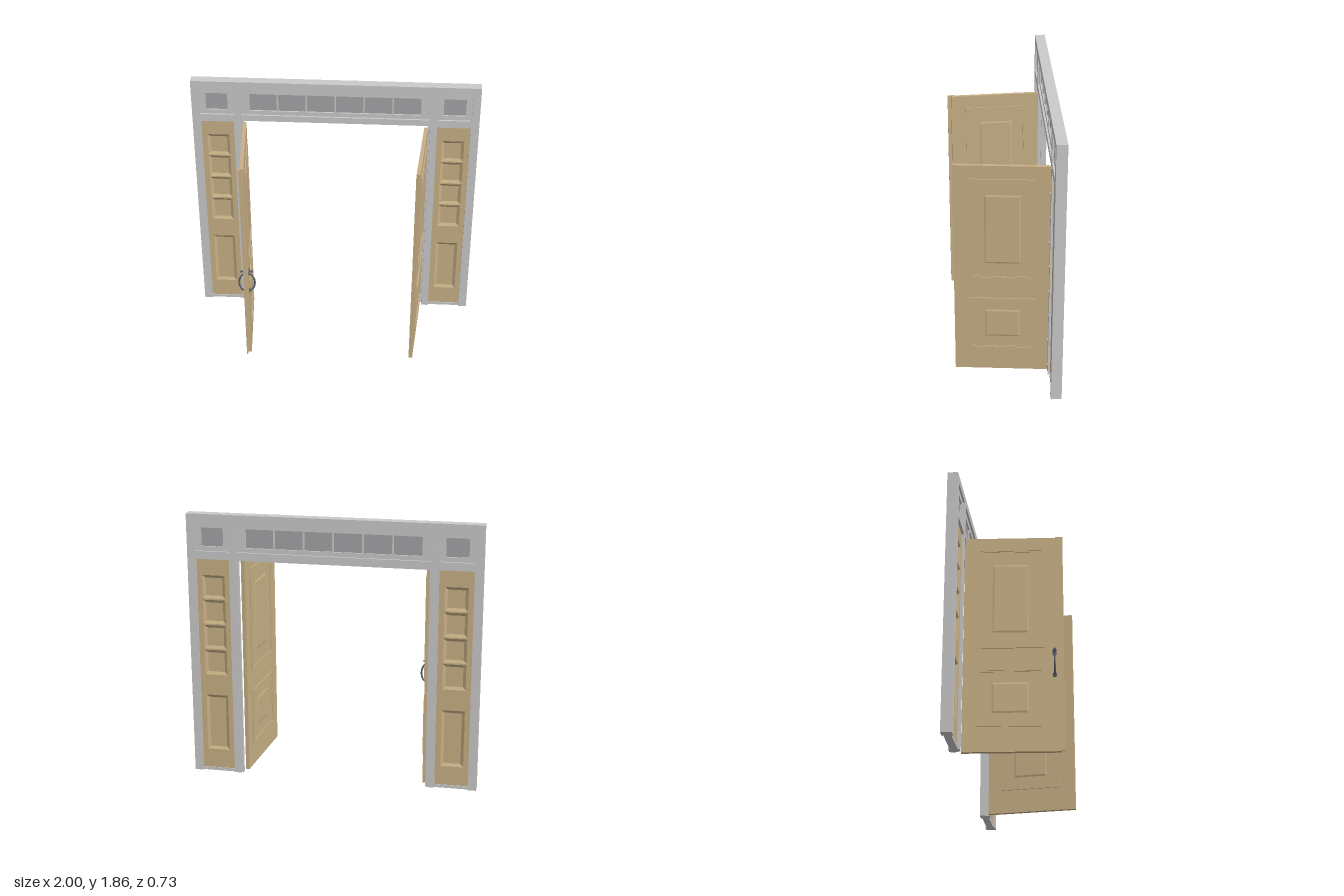
import * as THREE from 'three';

const mat = (name, color, side = THREE.FrontSide) => {
  const m = new THREE.MeshStandardMaterial({ color, side });
  m.name = name;
  return m;
};

// Rectangles are [x0, y0, x1, y1]
const trace = (path, [x0, y0, x1, y1]) =>
  path.moveTo(x0, y0).lineTo(x1, y0).lineTo(x1, y1).lineTo(x0, y1).closePath();
const rectShape = (outer, holes = []) => {
  const s = trace(new THREE.Shape(), outer);
  holes.forEach(h => s.holes.push(trace(new THREE.Path(), h)));
  return s;
};
const shrink = ([x0, y0, x1, y1], d) => [x0 + d, y0 + d, x1 - d, y1 - d];

// Extrusion centred on z = 0
const plate = (shape, depth) =>
  new THREE.ExtrudeGeometry(shape, { depth, bevelEnabled: false }).translate(0, 0, -depth / 2);

// Bevelled field: four slopes from an outer rectangle to an inner one at height h
function bevelField(outer, bevel, z, h) {
  const corners = ([x0, y0, x1, y1], zz) => [[x0, y0, zz], [x1, y0, zz], [x1, y1, zz], [x0, y1, zz]];
  const a = corners(outer, z), b = corners(shrink(outer, bevel), z + h);
  const pos = [];
  const quad = (p, q, r, s) => pos.push(...p, ...q, ...r, ...p, ...r, ...s);
  for (let i = 0; i < 4; i++) {
    const j = (i + 1) % 4;
    quad(a[i], a[j], b[j], b[i]);
  }
  quad(...b);
  const g = new THREE.BufferGeometry();
  g.setAttribute('position', new THREE.Float32BufferAttribute(pos, 3));
  g.computeVertexNormals();
  return g;
}

export function createModel() {
  const grey = mat('frame grey', 0xcacaca);
  const wood = mat('wood', 0xc8b086);
  const glass = mat('glass grey', 0xa5a5a8);
  const metal = mat('handle metal', 0x565e68);

  const model = new THREE.Group();
  model.name = 'doubleDoorEntrance';
  const add = (parent, name, geo, material) => {
    const m = new THREE.Mesh(geo, material);
    m.name = name;
    parent.add(m);
    return m;
  };
  const box = (parent, name, [x0, y0, x1, y1], depth, material, z = 0) =>
    add(parent, name, new THREE.BoxGeometry(x1 - x0, y1 - y0, depth)
      .translate((x0 + x1) / 2, (y0 + y1) / 2, z), material);

  // Surround: posts and header with openings
  const surround = new THREE.Group();
  surround.name = 'surround';
  surround.position.z = -0.329;
  model.add(surround);
  const depth = 0.072;
  const transom = [-0.65, 1.605, 0.65, 1.805];
  const sideLight = [0.705, 1.605, 0.945, 1.805];
  const mirrored = ([x0, y0, x1, y1]) => [-x1, y0, -x0, y1];
  const header = [-1, 1.56, 1, 1.86];
  add(surround, 'header', plate(rectShape(header, [transom, sideLight, mirrored(sideLight)]), depth), grey);

  // Inset light frames with their panes
  function light(name, rect, panes) {
    add(surround, name + 'Frame', plate(rectShape(rect, panes), 0.046), grey);
    panes.forEach(p => box(surround, name + 'Pane', p, 0.024, glass));
  }
  const centrePanes = [];
  for (let i = 0; i < 6; i++) {
    const x = -0.596 + i * 0.2;
    centrePanes.push([x, 1.635, x + 0.19, 1.765]);
  }
  light('transom', transom, centrePanes);

  const sidePanel = [0.71, 0.02, 0.942, 1.55];
  const fields = [[0.16, 0.57], [0.72, 0.9], [0.91, 1.08], [1.09, 1.26], [1.27, 1.435]]
    .map(([y0, y1]) => [0.748, y0, 0.905, y1]);

  for (const side of [1, -1]) {
    const at = r => (side > 0 ? r : mirrored(r));
    light('sideLight', at(sideLight), [at([0.75, 1.637, 0.903, 1.765])]);

    // Posts, rail and sill around the side panel
    box(surround, 'outerPost', at([0.942, 0, 1, 1.56]), depth, grey);
    box(surround, 'innerPost', at([0.66, 0, 0.71, 1.56]), depth, grey);
    box(surround, 'sideRail', at([0.71, 1.55, 0.942, 1.56]), depth, grey);
    box(surround, 'sideSill', at([0.71, 0, 0.942, 0.022]), 0.05, grey);
    box(surround, 'jambStop', at([0.648, 0, 0.66, 1.56]), 0.034, grey, -0.012);

    // Wooden side panel with sunken fields on both faces
    for (const face of [1, -1]) {
      const skin = new THREE.Group();
      skin.name = 'sidePanelFace';
      skin.rotation.y = face > 0 ? 0 : Math.PI;
      surround.add(skin);
      const r = q => (side * face > 0 ? q : mirrored(q));
      const sunk = fields.map(r);
      add(skin, 'sidePanel', new THREE.ShapeGeometry(rectShape(r(sidePanel), sunk)).translate(0, 0, 0.02), wood);
      sunk.forEach(f => add(skin, 'sunkenField', bevelField(f, 0.02, 0.02, -0.012), wood));
    }
  }
  box(surround, 'headStop', [-0.66, 1.547, 0.66, 1.56], 0.034, grey, -0.012);

  // Door leaves, hinged at local x = 0
  const width = 0.635, thick = 0.026;
  function doorLeaf(name, side) {
    const door = new THREE.Group();
    door.name = name;
    door.position.set(side * 0.634, 0, -0.295);
    door.rotation.y = -Math.PI / 2 - side * THREE.MathUtils.degToRad(4.8);
    model.add(door);
    box(door, 'doorSlab', [0, 0, width, 1.548], thick, wood);
    const panels = [
      { trim: [0.095, 0.72, 0.532, 1.455], field: [0.19, 0.835, 0.43, 1.34] },
      { trim: [0.095, 0.17, 0.532, 0.567], field: [0.19, 0.265, 0.43, 0.475] },
    ];
    for (const { trim, field } of panels) {
      // Stepped moulding showing on both faces
      add(door, 'outerMoulding', plate(rectShape(trim, [shrink(trim, 0.009)]), thick + 0.014), wood);
      const inner = shrink(trim, 0.009);
      add(door, 'innerMoulding', plate(rectShape(inner, [shrink(inner, 0.008)]), thick + 0.007), wood);
      add(door, 'raisedField', bevelField(field, 0.012, thick / 2, 0.004), wood);
      const back = add(door, 'raisedField', bevelField(mirrored(field), 0.012, thick / 2, 0.004), wood);
      back.rotation.y = Math.PI;
    }
    return door;
  }
  doorLeaf('leftDoor', 1);
  const rightDoor = doorLeaf('rightDoor', -1);

  // Cover strip along the meeting edge
  box(rightDoor, 'coverStrip', [0.61, 0, 0.66, 1.548], 0.008, wood, thick / 2 + 0.004);

  // Pull handles on both faces
  for (const face of [1, -1]) {
    const handle = new THREE.Group();
    handle.name = 'pullHandle';
    handle.position.set(0.598, 0, face * thick / 2);
    if (face < 0) handle.rotation.y = Math.PI;
    rightDoor.add(handle);
    const grip = new THREE.CatmullRomCurve3([
      [0.525, 0.002], [0.54, 0.022], [0.57, 0.038], [0.605, 0.042], [0.64, 0.034], [0.665, 0.016], [0.675, 0.002],
    ].map(([y, z]) => new THREE.Vector3(0, y, z)));
    add(handle, 'grip', new THREE.TubeGeometry(grip, 24, 0.006, 8), metal);
    for (const [y, h] of [[0.527, 0.018], [0.69, 0.032]]) {
      const rose = add(handle, 'mountPlate', new THREE.CylinderGeometry(0.013, 0.015, 0.007, 20), metal);
      rose.rotation.x = Math.PI / 2;
      rose.scale.z = h / 0.015;
      rose.position.set(0, y, 0.003);
    }
    box(handle, 'thumbLatch', [-0.007, 0.69, 0.007, 0.697], 0.03, metal, 0.016);
  }
  return model;
}
